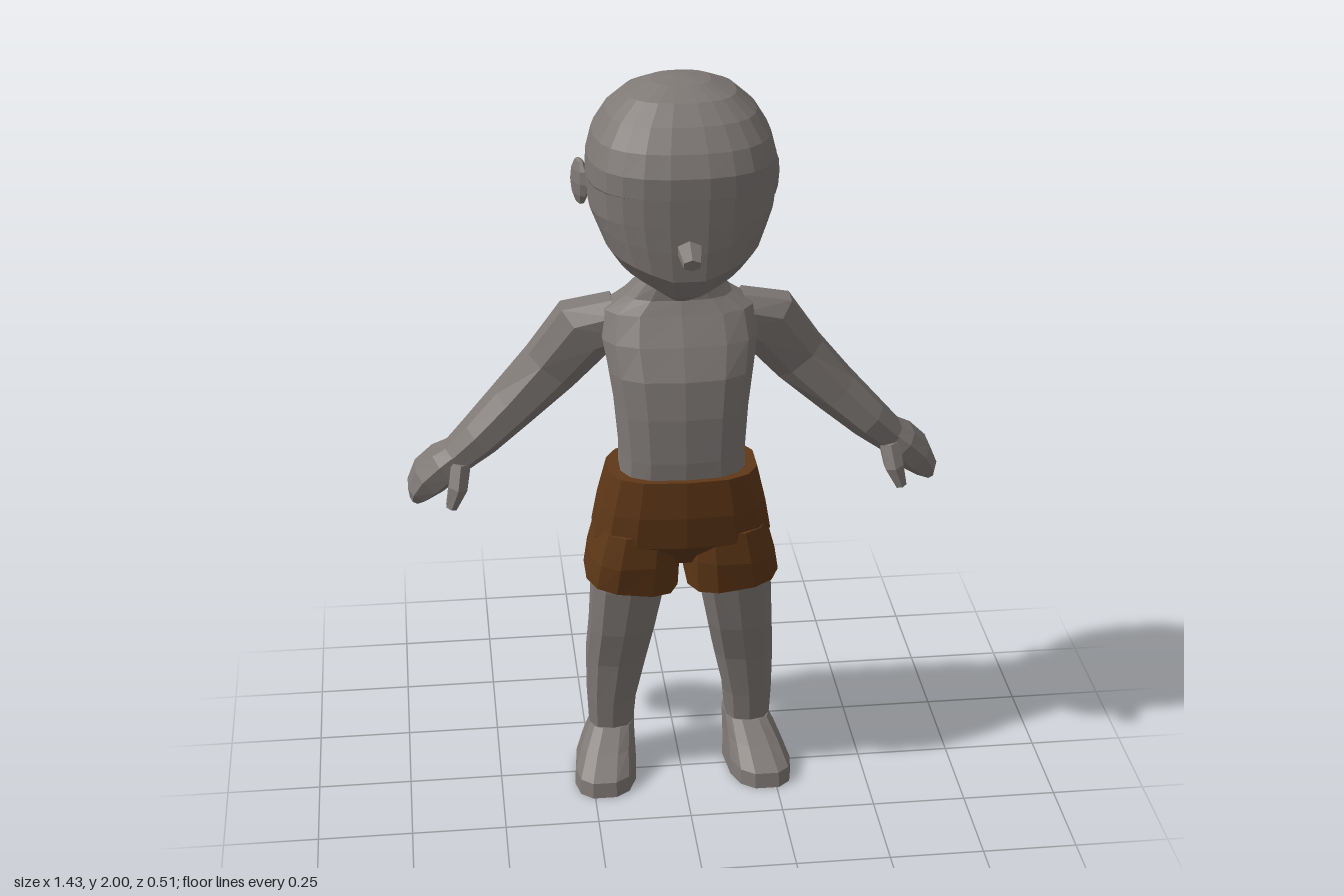
import * as THREE from 'three';

const skin = new THREE.MeshStandardMaterial({ color: 0x7f7976, flatShading: true });
skin.name = 'grey skin';
const cloth = new THREE.MeshStandardMaterial({ color: 0x5f3817, flatShading: true });
cloth.name = 'brown cloth';

const spow = (v, e) => Math.sign(v) * Math.abs(v) ** e;

// Closed superellipse around a centre, spanned by two half axes
function ring(c, u, v, n, e) {
  return Array.from({ length: n }, (_, i) => {
    const a = ((i + 0.5) / n) * Math.PI * 2;
    return c.clone().addScaledVector(u, spow(Math.cos(a), e)).addScaledVector(v, spow(Math.sin(a), e));
  });
}

// Level ring: centre x, height, half width, front z, back z, rise per unit of |x|
function level([cx, y, rx, zf, zb, rise = 0], n, e) {
  const pts = ring(new THREE.Vector3(cx, y, (zf + zb) / 2), new THREE.Vector3(rx, 0, 0),
    new THREE.Vector3(0, 0, (zf - zb) / 2), n, e);
  pts.forEach((p) => { p.y += rise * Math.abs(p.x); });
  return pts;
}

// Rings across a path in the x-y plane: x, y, z, half thickness, half depth
function limb(path, n, e) {
  return path.map(([x, y, z, t, d], i) => {
    const a = path[Math.max(i - 1, 0)], b = path[Math.min(i + 1, path.length - 1)];
    const u = new THREE.Vector3(a[1] - b[1], b[0] - a[0], 0).normalize().multiplyScalar(t);
    return ring(new THREE.Vector3(x, y, z), u, new THREE.Vector3(0, 0, d), n, e);
  });
}

// Skin a run of rings, cap both ends and turn the faces outwards
function loft(name, rings, material, side = 1) {
  const n = rings[0].length, pos = [], idx = [];
  rings.flat().forEach((p) => pos.push(p.x * side, p.y, p.z));
  for (let r = 0; r < rings.length - 1; r++) {
    for (let i = 0; i < n; i++) {
      const a = r * n + i, b = r * n + ((i + 1) % n);
      idx.push(a, a + n, b, b, a + n, b + n);
    }
  }
  const last = (rings.length - 1) * n;
  for (let i = 1; i < n - 1; i++) idx.push(0, i, i + 1, last, last + i + 1, last + i);
  const v = (k) => new THREE.Vector3().fromArray(pos, k * 3);
  let volume = 0;
  for (let k = 0; k < idx.length; k += 3) volume += v(idx[k]).dot(v(idx[k + 1]).cross(v(idx[k + 2])));
  if (volume < 0) idx.reverse();
  const g = new THREE.BufferGeometry();
  g.setAttribute('position', new THREE.Float32BufferAttribute(pos, 3));
  g.setIndex(idx);
  const flat = g.toNonIndexed();
  flat.computeVertexNormals();
  const mesh = new THREE.Mesh(flat, material);
  mesh.name = name;
  return mesh;
}

const levels = (rows, n, e) => rows.map((r) => level(r, n, e));

export function createModel() {
  const model = new THREE.Group();
  model.name = 'figure';

  // Head: raised jaw sides, flat face, brow ledge, round crown
  const head = new THREE.Group();
  head.name = 'head';
  head.add(loft('skull', levels([
    [0, 1.42, 0.03, 0.04, -0.06],
    [0, 1.46, 0.165, 0.15, -0.13, 0.5],
    [0, 1.52, 0.195, 0.192, -0.17, 0.35],
    [0, 1.6, 0.218, 0.195, -0.205, 0.2],
    [0, 1.68, 0.233, 0.196, -0.228],
    [0, 1.75, 0.238, 0.197, -0.237],
    [0, 1.757, 0.238, 0.217, -0.238],
    [0, 1.81, 0.236, 0.216, -0.234],
    [0, 1.865, 0.222, 0.192, -0.216],
    [0, 1.92, 0.188, 0.152, -0.182],
    [0, 1.965, 0.138, 0.104, -0.135],
    [0, 1.992, 0.075, 0.048, -0.078],
    [0, 2.0, 0.02, 0.005, -0.03],
  ], 24, 0.78), skin));

  const nose = new THREE.Mesh(new THREE.CylinderGeometry(0.024, 0.036, 0.075, 6), skin);
  nose.name = 'nose';
  nose.position.set(0, 1.612, 0.214);
  nose.rotation.x = Math.PI / 2 + 0.3;
  nose.scale.z = 0.7;
  head.add(nose);
  model.add(head);

  // Torso, rising through the shoulders into the neck
  model.add(loft('torso', levels([
    [0, 0.88, 0.17, 0.12, -0.1],
    [0, 1.0, 0.165, 0.125, -0.11],
    [0, 1.12, 0.175, 0.12, -0.14],
    [0, 1.22, 0.19, 0.105, -0.165],
    [0, 1.3, 0.205, 0.065, -0.18],
    [0, 1.37, 0.195, 0.022, -0.175],
    [0, 1.405, 0.14, 0.003, -0.16],
    [0, 1.45, 0.1, 0, -0.135],
    [0, 1.54, 0.085, 0, -0.12],
  ], 14, 0.72), skin));

  // Seat of the shorts
  const shorts = new THREE.Group();
  shorts.name = 'shorts';
  shorts.add(loft('shortsSeat', levels([
    [0, 0.952, 0.198, 0.14, -0.12],
    [0, 0.85, 0.222, 0.146, -0.15],
    [0, 0.76, 0.238, 0.138, -0.163],
    [0, 0.68, 0.2, 0.07, -0.1],
  ], 14, 0.7), cloth));
  model.add(shorts);

  for (const s of [1, -1]) {
    const name = s > 0 ? 'left' : 'right';

    // Ear, with its rear edge standing off the head
    const ear = new THREE.Mesh(new THREE.SphereGeometry(1, 8, 6), skin);
    ear.name = name + 'Ear';
    ear.scale.set(0.018, 0.063, 0.042);
    ear.position.set(s * 0.246, 1.7, -0.108);
    ear.rotation.y = -s * 0.35;
    head.add(ear);

    // Leg of the shorts
    shorts.add(loft(name + 'ShortsLeg', levels([
      [0.115, 0.79, 0.11, 0.13, -0.155],
      [0.127, 0.7, 0.122, 0.134, -0.16],
      [0.135, 0.598, 0.125, 0.122, -0.15, 0.13],
    ], 12, 0.72), cloth, s));

    // Arm and mitten hand
    model.add(loft(name + 'Arm', limb([
      [0.15, 1.325, -0.095, 0.07, 0.075],
      [0.245, 1.29, -0.115, 0.092, 0.075],
      [0.33, 1.175, -0.145, 0.08, 0.072],
      [0.43, 1.07, -0.153, 0.066, 0.082],
      [0.52, 0.985, -0.142, 0.056, 0.074],
      [0.585, 0.925, -0.145, 0.046, 0.062],
    ], 8, 0.85), skin, s));
    model.add(loft(name + 'Hand', limb([
      [0.575, 0.935, -0.145, 0.044, 0.06],
      [0.615, 0.9, -0.16, 0.052, 0.08],
      [0.66, 0.855, -0.175, 0.05, 0.083],
      [0.69, 0.815, -0.178, 0.035, 0.066],
      [0.7, 0.795, -0.175, 0.016, 0.045],
    ], 8, 0.8), skin, s));
    model.add(loft(name + 'Thumb', limb([
      [0.575, 0.925, -0.11, 0.03, 0.035],
      [0.585, 0.865, -0.08, 0.028, 0.033],
      [0.605, 0.81, -0.07, 0.016, 0.022],
    ], 6, 0.9), skin, s));

    // Leg
    model.add(loft(name + 'Leg', levels([
      [0.14, 0.68, 0.1, 0.092, -0.11],
      [0.143, 0.6, 0.1, 0.09, -0.11],
      [0.16, 0.46, 0.09, 0.065, -0.11],
      [0.174, 0.35, 0.083, 0.036, -0.138],
      [0.188, 0.22, 0.068, 0.018, -0.132],
      [0.19, 0.12, 0.061, 0.006, -0.125],
    ], 10, 0.78), skin, s));

    // Foot, turned slightly outwards
    const foot = levels([
      [0.192, 0.14, 0.062, 0.01, -0.128],
      [0.203, 0.09, 0.074, 0.07, -0.132],
      [0.21, 0.042, 0.084, 0.136, -0.136],
      [0.21, 0, 0.086, 0.143, -0.138],
    ], 12, 0.72);
    foot.flat().forEach((p) => { p.x += 0.1 * p.z; });
    model.add(loft(name + 'Foot', foot, skin, s));
  }
  return model;
}
